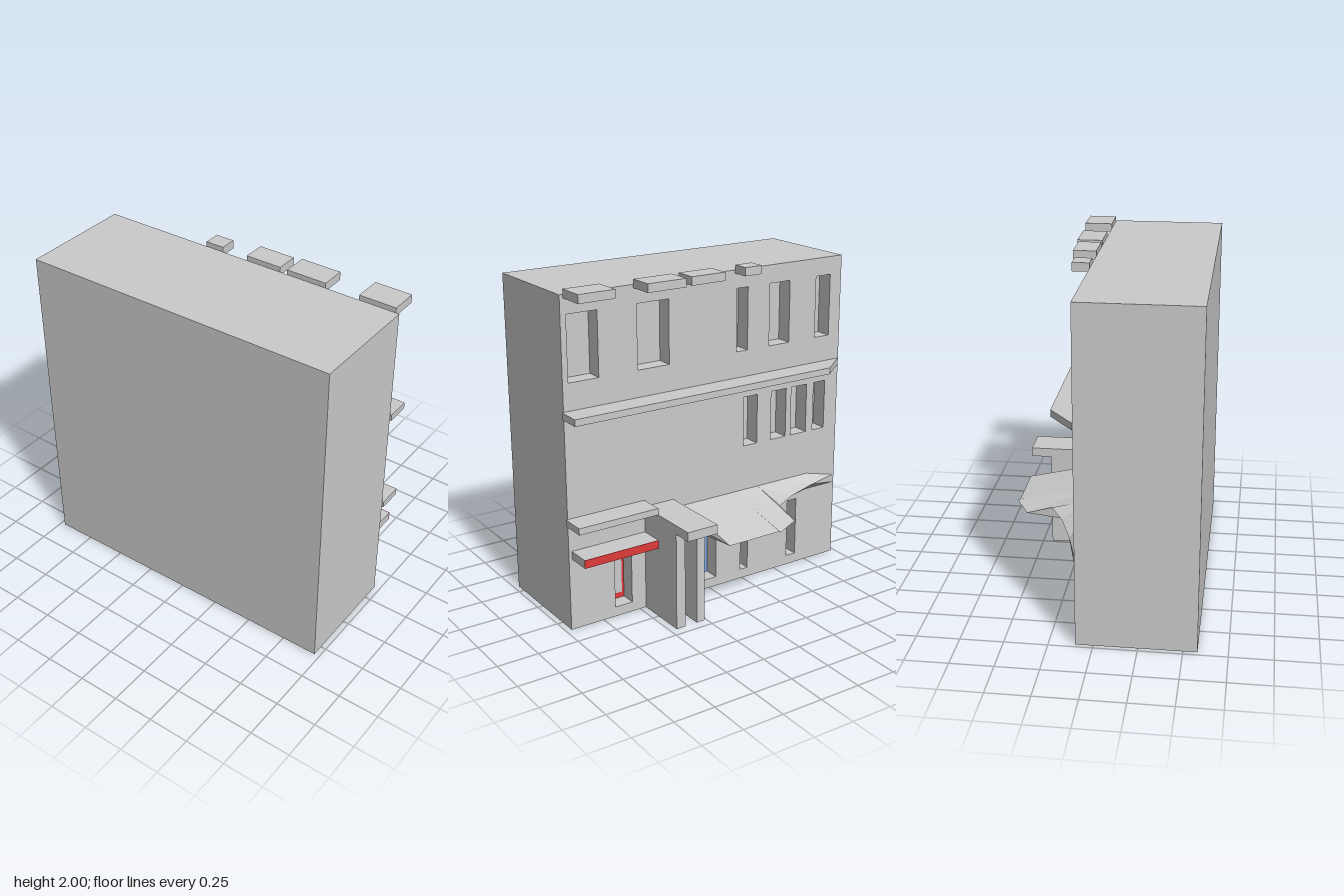
import * as THREE from 'three';

const FACE = 0.105; // x of the street facade
const DEPTH = 0.1;  // depth of the window recesses
const mat = (color) => new THREE.MeshStandardMaterial({ color, flatShading: true });
const grey = mat(0xcccccc), red = mat(0xe03a3a), blue = mat(0x7ba7e6);

export function createModel() {
  const root = new THREE.Group();
  root.name = 'building';

  const add = (name, geometry, material = grey) => {
    const mesh = new THREE.Mesh(geometry, material);
    mesh.name = name;
    root.add(mesh);
    return mesh;
  };
  // box given by its limits on each axis
  const box = (name, x0, x1, y0, y1, z0, z1, material) =>
    add(name, new THREE.BoxGeometry(x1 - x0, y1 - y0, z1 - z0), material)
      .position.set((x0 + x1) / 2, (y0 + y1) / 2, (z0 + z1) / 2);

  // main block behind the facade
  box('mainBlock', -0.575, FACE - DEPTH, 0, 1.97, -0.975, 0.965);

  // facade slab with window openings, one row per storey
  const rows = [
    { y0: 1.48, y1: 1.86, z: [[0.74, 0.93], [0.28, 0.49], [-0.27, -0.19], [-0.58, -0.43], [-0.89, -0.78]] },
    { y0: 0.88, y1: 1.19, z: [[-0.35, -0.25], [-0.57, -0.455], [-0.73, -0.61], [-0.875, -0.785]] },
    { y0: 0.06, y1: 0.44, z: [[0.555, 0.67], [0.32, 0.39], [-0.05, 0.035], [-0.29, -0.235], [-0.67, -0.6]] },
  ];
  const rect = (path, z0, z1, y0, y1) =>
    path.moveTo(-z1, y0).lineTo(-z0, y0).lineTo(-z0, y1).lineTo(-z1, y1).closePath();
  const wall = new THREE.Shape();
  rect(wall, -0.975, 0.965, 0, 1.97);
  for (const row of rows) {
    for (const [z0, z1] of row.z) {
      const hole = new THREE.Path();
      rect(hole, z0, z1, row.y0, row.y1);
      wall.holes.push(hole);
    }
  }
  const slab = new THREE.ExtrudeGeometry(wall, { depth: DEPTH, bevelEnabled: false });
  add('facade', slab.rotateY(Math.PI / 2).translate(FACE - DEPTH, 0, 0));

  // coloured doors and panes at the back of the ground floor openings
  const back = FACE - DEPTH;
  const pane = (name, z0, z1, y0, y1, m, t = 0.004) => box(name, back, back + t, y0, y1, z0, z1, m);
  pane('framedWindow', 0.555, 0.67, 0.06, 0.44, red);
  pane('framedWindowGlass', 0.57, 0.655, 0.095, 0.415, grey, 0.006);
  pane('porchDoor', 0.32, 0.39, 0.06, 0.44, red);
  pane('blueDoor', -0.05, 0.035, 0.06, 0.44, blue);
  pane('redDoor', -0.29, -0.235, 0.06, 0.44, red);

  // roof edge blocks: z range and reach
  for (const [z0, z1, x] of [[0.72, 0.945, 0.272], [0.26, 0.51, 0.255], [-0.01, 0.215, 0.24], [-0.29, -0.175, 0.205]]) {
    box('roofBlock', FACE, x, 1.95, 2, z0, z1);
  }

  // cornice running out to a point at the back corner
  const plan = new THREE.Shape([[FACE, -0.975], [0.25, -0.975], [0.25, 0.79], [FACE, 0.975]]
    .map(([x, y]) => new THREE.Vector2(x, y)));
  add('cornice', new THREE.ExtrudeGeometry(plan, { depth: 0.04, bevelEnabled: false })
    .rotateX(-Math.PI / 2).translate(0, 1.28, 0));

  // shop canopies
  box('upperCanopy', FACE, 0.255, 0.65, 0.69, 0.46, 0.975);
  box('lowerCanopy', FACE, 0.25, 0.44, 0.49, 0.395, 0.945);
  box('lowerCanopyFascia', 0.25, 0.254, 0.44, 0.49, 0.46, 0.945, red);

  // entrance porch: two walls and a roof slab
  box('porchWall', FACE, 0.44, 0, 0.595, 0.4, 0.46);
  box('porchWall', FACE, 0.44, 0, 0.595, 0.265, 0.32);
  box('porchRoof', FACE, 0.56, 0.595, 0.65, 0.26, 0.46);

  // wedge awning: sections of z, reach, wall bottom y and edge y
  const sections = [
    [0.215, 0.11, 0.49, 0.54], [0.18, 0.4, 0.455, 0.5], [0.17, 0.555, 0.45, 0.495],
    [-0.18, 0.555, 0.45, 0.495], [-0.185, 0.57, 0.45, 0.495], [-0.36, 0.48, 0.45, 0.495],
    [-0.365, 0.33, 0.49, 0.54], [-0.52, 0.245, 0.49, 0.54], [-0.75, 0.165, 0.49, 0.54],
    [-0.965, FACE, 0.49, 0.54],
  ].map(([z, x, low, edge]) => [[FACE, low, z], [x, edge, z], [FACE, 0.595, z]]);
  const pos = [...sections[0].flat()];
  for (let i = 0; i < sections.length - 1; i++) {
    const a = sections[i], b = sections[i + 1];
    for (let j = 0; j < 3; j++) {
      const k = (j + 1) % 3;
      pos.push(...a[j], ...b[j], ...a[k], ...a[k], ...b[j], ...b[k]);
    }
  }
  const awning = new THREE.BufferGeometry();
  awning.setAttribute('position', new THREE.Float32BufferAttribute(pos, 3));
  awning.computeVertexNormals();
  add('awning', awning);

  root.rotation.y = 0.005;
  return root;
}
